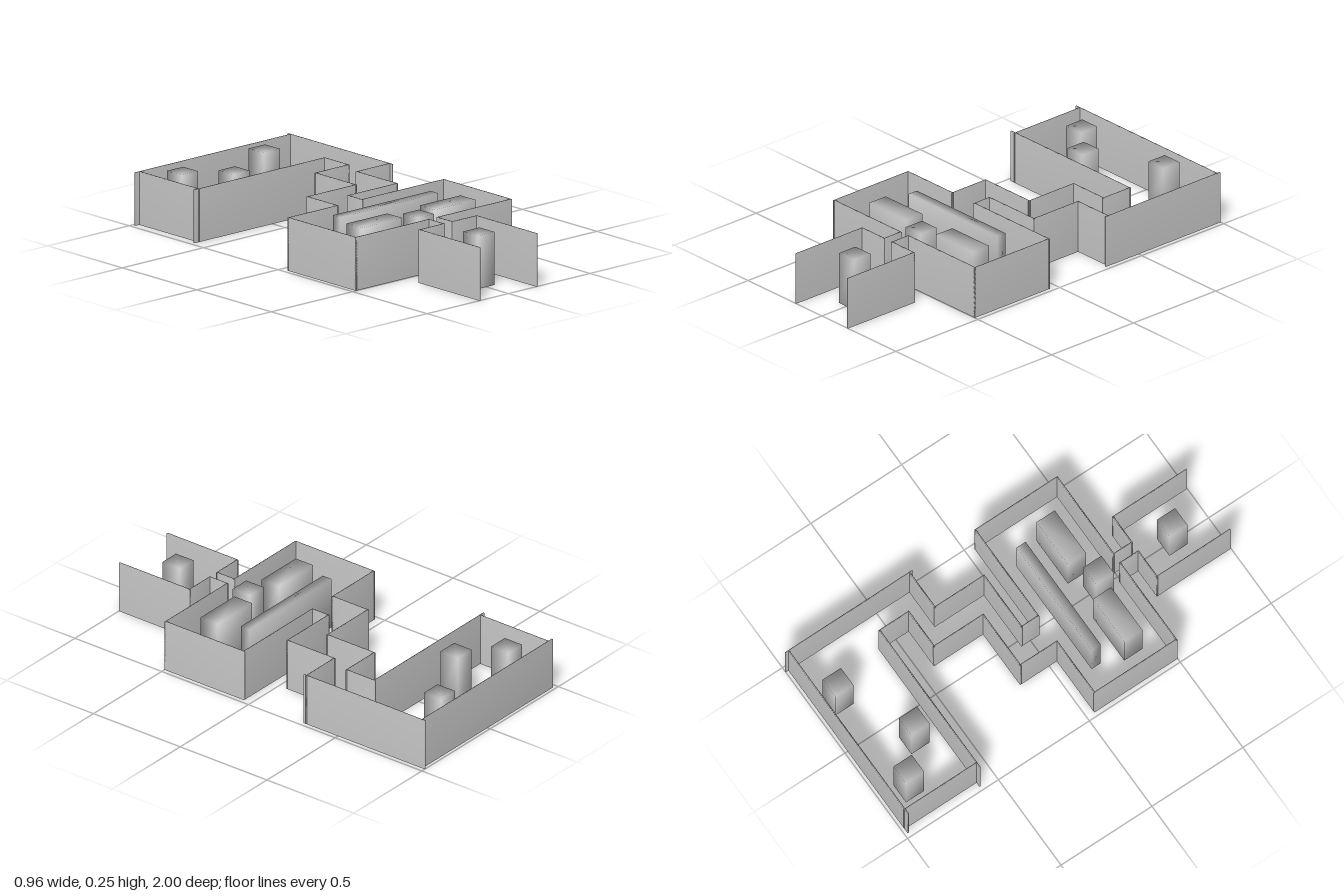
import * as THREE from 'three';
import { mergeVertices } from 'three/addons/utils/BufferGeometryUtils.js';

const HEIGHT = 0.25;
const WALL = 0.007;

export function createModel() {
  const model = new THREE.Group();
  model.name = 'floorPlan';
  const material = new THREE.MeshStandardMaterial({ color: 0xcccccc });

  // Box standing on the floor, with corners shared so the shading is smooth
  function block(parent, name, x0, x1, z0, z1) {
    let geometry = new THREE.BoxGeometry(x1 - x0, HEIGHT, z1 - z0);
    geometry.deleteAttribute('normal');
    geometry.deleteAttribute('uv');
    geometry = mergeVertices(geometry);
    geometry.computeVertexNormals();
    const mesh = new THREE.Mesh(geometry, material);
    mesh.name = name;
    mesh.position.set((x0 + x1) / 2, HEIGHT / 2, (z0 + z1) / 2);
    parent.add(mesh);
  }

  // Run of thin straight walls through a list of [x, z] corners
  function wallRun(name, corners) {
    const group = new THREE.Group();
    group.name = name;
    const h = WALL / 2;
    for (let i = 1; i < corners.length; i++) {
      const [ax, az] = corners[i - 1];
      const [bx, bz] = corners[i];
      block(group, 'wall', Math.min(ax, bx) - h, Math.max(ax, bx) + h,
        Math.min(az, bz) - h, Math.max(az, bz) + h);
    }
    model.add(group);
  }

  // Right-hand side: entrance, neck, middle room, stepped passage, back room
  wallRun('rightWalls', [
    [-0.176, 0.996], [-0.176, 0.595], [-0.027, 0.595], [-0.027, 0.495],
    [-0.476, 0.495], [-0.476, 0.045], [-0.176, 0.045], [-0.176, -0.157],
    [0.12, -0.157], [0.12, -0.427], [0.323, -0.427], [0.323, -0.587],
    [-0.476, -0.587],
  ]);

  // Left-hand side, from the entrance to the passage's outer corner
  wallRun('leftWalls', [
    [0.174, 0.996], [0.174, 0.595], [0.025, 0.595], [0.025, 0.495],
    [0.476, 0.495], [0.476, 0.045], [-0.027, 0.045], [-0.027, -0.047],
    [0.273, -0.047], [0.273, -0.317], [0.476, -0.317],
  ]);

  // Back room walls, which run a little past one another at the corners
  wallRun('backRoomLeftWall', [[0.476, -0.304], [0.476, -0.996]]);
  wallRun('backRoomRearWall', [[-0.476, -0.982], [0.476, -0.982]]);
  wallRun('backRoomRightWall', [[-0.452, -0.982], [-0.452, -0.587]]);

  // Square pillars
  for (const [x, z] of [[0, 0.8], [0, 0.395], [-0.303, -0.857], [-0.125, -0.705], [0.224, -0.884]]) {
    block(model, 'pillar', x - 0.05, x + 0.05, z - 0.05, z + 0.05);
  }

  // Middle room furniture
  block(model, 'longCounter', -0.3, 0.3, 0.15, 0.2);
  block(model, 'rightTable', -0.35, -0.1, 0.295, 0.395);
  block(model, 'leftTable', 0.1, 0.35, 0.295, 0.395);

  return model;
}
